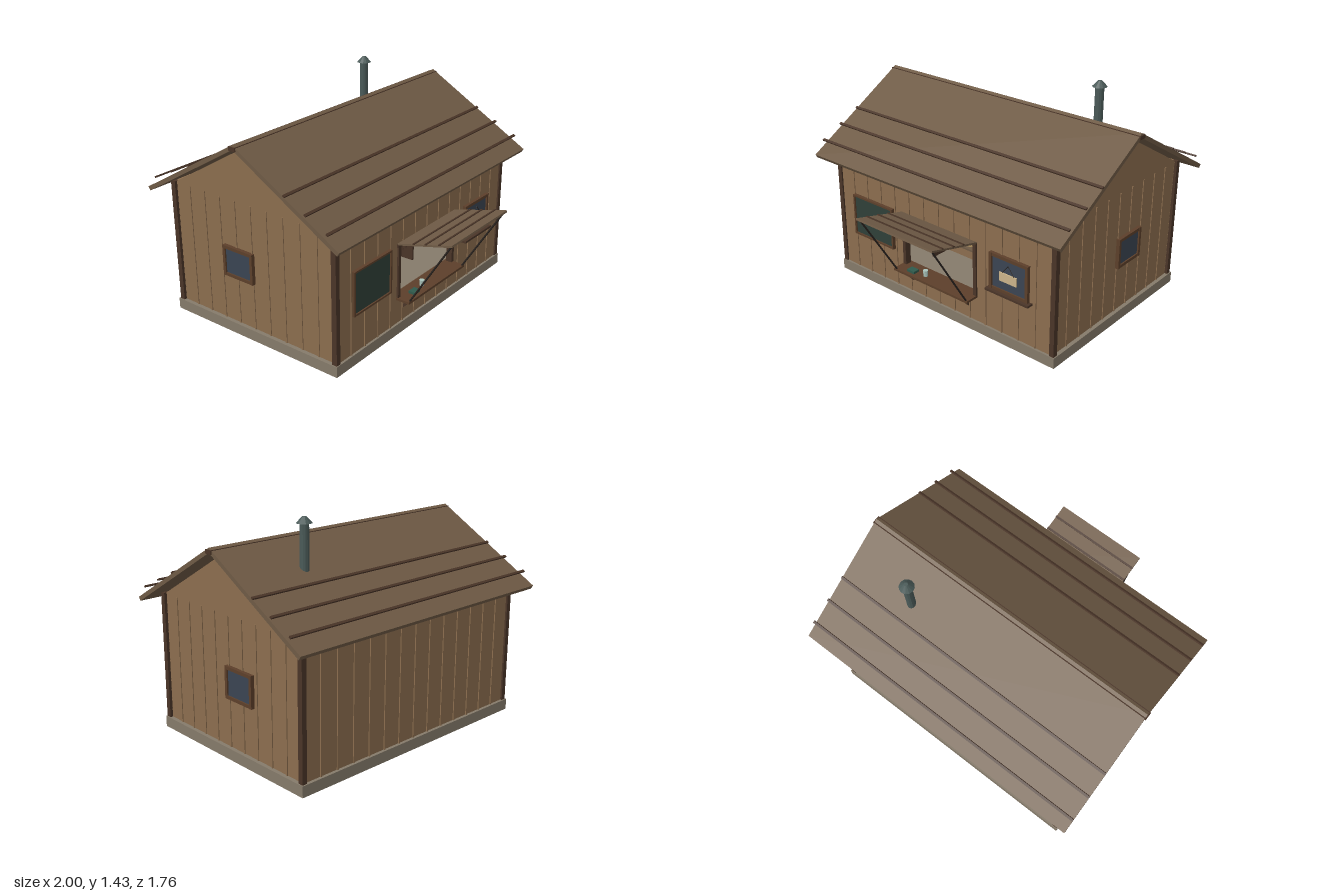
import * as THREE from 'three';

const mats = {};
const mat = (c) => (mats[c] ??= new THREE.MeshStandardMaterial({ color: c, flatShading: true }));
const WALL = 0x8b6d4e, DARK = 0x4a3528, ROOF = 0x6e5a45, STONE = 0x857a6a, TRIM = 0x5c3f2a;
const METAL = 0x4a5a58, GLASS = 0x3a4452, IRON = 0x2a2420;

function add(parent, name, geo, color) {
  const m = new THREE.Mesh(geo, mat(color));
  m.name = name;
  parent.add(m);
  return m;
}
// box given by its extents on each axis
function box(parent, name, x0, x1, y0, y1, z0, z1, color) {
  const m = add(parent, name, new THREE.BoxGeometry(x1 - x0, y1 - y0, z1 - z0), color);
  m.position.set((x0 + x1) / 2, (y0 + y1) / 2, (z0 + z1) / 2);
  return m;
}
function cyl(parent, name, rTop, rBottom, x, y0, y1, z, color, n = 10) {
  const m = add(parent, name, new THREE.CylinderGeometry(rTop, rBottom, y1 - y0, n), color);
  m.position.set(x, (y0 + y1) / 2, z);
  return m;
}
// thin rod between two points
function rod(parent, name, a, b, r, color) {
  const p = new THREE.Vector3(...a), d = new THREE.Vector3(...b).sub(p);
  const m = add(parent, name, new THREE.CylinderGeometry(r, r, d.length(), 6), color);
  m.position.copy(p).addScaledVector(d, 0.5);
  m.quaternion.setFromUnitVectors(new THREE.Vector3(0, 1, 0), d.normalize());
}
const shape = (pts) => new THREE.Shape(pts.map(([a, b]) => new THREE.Vector2(a, b)));
// (z, y) outline extruded along x, centred on x
function prism(parent, name, pts, width, x, color) {
  const g = new THREE.ExtrudeGeometry(shape(pts), { depth: width, bevelEnabled: false });
  g.translate(0, 0, -width / 2).rotateY(-Math.PI / 2).translate(x, 0, 0);
  return add(parent, name, g, color);
}
// framed panel facing +z, centred on its own origin
function framed(parent, name, w, h, bar, paneColor, frameColor) {
  const g = new THREE.Group();
  g.name = name;
  parent.add(g);
  box(g, 'pane', -w / 2 + bar, w / 2 - bar, -h / 2 + bar, h / 2 - bar, -0.005, 0.01, paneColor);
  for (const s of [-1, 1]) {
    const x = s * (w - bar) / 2, y = s * (h - bar) / 2;
    box(g, 'frameSide', x - bar / 2, x + bar / 2, -h / 2, h / 2, -0.005, 0.02, frameColor);
    box(g, 'frameRail', -w / 2, w / 2, y - bar / 2, y + bar / 2, -0.005, 0.019, frameColor);
  }
  return g;
}

function buildWalls(root) {
  const g = new THREE.Group();
  g.name = 'walls';
  root.add(g);
  box(root, 'foundation', -0.905, 0.905, 0, 0.07, -0.785, 0.52, STONE);

  // front wall with the serving hatch cut out
  const front = shape([[-0.88, 0.07], [0.88, 0.07], [0.88, 0.885], [-0.88, 0.885]]);
  front.holes.push(shape([[-0.3, 0.24], [-0.3, 0.6], [0.3, 0.6], [0.3, 0.24]]));
  add(g, 'frontWall', new THREE.ExtrudeGeometry(front, { depth: 0.025, bevelEnabled: false }), WALL).position.z = 0.48;
  box(g, 'backWall', -0.88, 0.88, 0.07, 0.885, -0.765, -0.74, WALL);

  const gable = [[-0.755, 0.07], [0.495, 0.07], [0.495, 0.88], [-0.13, 1.245], [-0.755, 0.88]];
  for (const s of [-1, 1]) {
    prism(g, 'sideWall', gable, 0.025, s * 0.867, WALL);
    for (const z of [-0.76, 0.498]) box(g, 'cornerPost', s * 0.882 - 0.016, s * 0.882 + 0.016, 0.07, 0.887, z - 0.017, z + 0.017, DARK);
    // narrow battens over the board joints
    for (let i = 1; i < 10; i++) {
      const z = -0.755 + i * 0.125;
      box(g, 'sideBatten', s * 0.881 - 0.004, s * 0.881 + 0.004, 0.07, 0.88, z - 0.005, z + 0.005, WALL);
    }
  }
  for (let i = 1; i < 14; i++) {
    const x = -0.88 + i * 1.76 / 14;
    box(g, 'backBatten', x - 0.005, x + 0.005, 0.07, 0.885, -0.772, -0.764, WALL);
    const spans = Math.abs(x) < 0.31 ? [[0.07, 0.235], [0.6, 0.885]] : [[0.07, 0.885]];
    for (const [a, b] of spans) box(g, 'frontBatten', x - 0.005, x + 0.005, a, b, 0.504, 0.511, WALL);
  }
}

function buildRoof(root) {
  const g = new THREE.Group();
  g.name = 'roof';
  root.add(g);
  prism(g, 'roofSlabs', [[-0.13, 1.285], [-0.877, 0.853], [-0.863, 0.83], [-0.13, 1.256], [0.603, 0.83], [0.617, 0.853]], 1.986, 0, ROOF);
  box(g, 'ridgeBeam', -1, 1, 1.25, 1.274, -0.155, -0.105, DARK);
  // battens standing just above each slope
  for (const s of [-1, 1]) for (let i = 0; i < 3; i++) {
    const b = box(g, 'roofBatten', -0.995, 0.995, -0.005, 0.005, -0.008, 0.008, DARK);
    b.position.set(0, 1.077 - i * 0.071, -0.13 + s * (0.37 + i * 0.149));
    b.rotation.x = s * Math.PI / 6;
  }
  // stove pipe
  cyl(g, 'chimneyPipe', 0.028, 0.028, 0.525, 1.09, 1.4, -0.385, METAL, 12);
  cyl(g, 'chimneyCap', 0.012, 0.047, 0.525, 1.395, 1.432, -0.385, METAL, 12);
}

function buildHatch(root) {
  const g = new THREE.Group();
  g.name = 'servingHatch';
  root.add(g);
  box(g, 'counter', -0.315, 0.31, 0.235, 0.25, 0.46, 0.6, TRIM);
  box(g, 'hatchHead', -0.315, 0.31, 0.588, 0.61, 0.475, 0.517, DARK);
  // awning board with cross battens
  const awning = new THREE.Group();
  awning.name = 'awning';
  awning.position.set(0, 0.61, 0.51);
  awning.rotation.x = -0.25;
  g.add(awning);
  box(awning, 'awningBoard', -0.315, 0.312, -0.006, 0.006, 0, 0.385, ROOF);
  for (const z of [0.12, 0.205, 0.3]) box(awning, 'awningBatten', -0.317, 0.314, 0.004, 0.011, z - 0.007, z + 0.007, DARK);
  for (const s of [-1, 1]) {
    box(g, 'hatchJamb', s * 0.298 - 0.012, s * 0.298 + 0.012, 0.24, 0.6, 0.475, 0.517, DARK);
    rod(g, 'awningStrut', [s * 0.295, 0.245, 0.59], [s * 0.295, 0.695, 0.868], 0.006, IRON);
    prism(g, 'counterBracket', [[0.505, 0.15], [0.59, 0.236], [0.505, 0.236]], 0.014, s * 0.237, DARK);
  }
  // goods on the counter
  cyl(g, 'cup', 0.017, 0.014, -0.09, 0.25, 0.29, 0.54, 0xa9c4bb);
  box(g, 'ledger', -0.22, -0.16, 0.25, 0.266, 0.53, 0.575, 0x2f5a4c);
}

function buildShelves(root) {
  const g = new THREE.Group();
  g.name = 'stockShelves';
  root.add(g);
  box(g, 'shelfBack', -0.6, 0.6, 0.07, 0.8, -0.06, -0.045, WALL);
  for (const y of [0.245, 0.36, 0.485]) box(g, 'shelf', -0.45, 0.45, y - 0.012, y, -0.045, 0.1, ROOF);
  for (const s of [-1, 1]) box(g, 'shelfEnd', s * 0.455 - 0.008, s * 0.455 + 0.008, 0.07, 0.62, -0.045, 0.1, DARK);
  const z = 0.04;
  for (const x of [-0.245, -0.18]) {
    cyl(g, 'waterJug', 0.021, 0.021, x, 0.485, 0.54, z, 0x4a7396);
    cyl(g, 'waterJugNeck', 0.009, 0.016, x, 0.54, 0.56, z, 0x4a7396);
  }
  // rows of small goods: first x, count, shelf y, height, colours
  const rows = [
    [-0.098, 7, 0.485, 0.028, [0x3f6b45, 0x8a3a30]],
    [0.125, 7, 0.485, 0.028, [0xd8d0c0, 0xa03a34]],
    [-0.28, 7, 0.36, 0.027, [0xc7802c]],
    [-0.08, 6, 0.36, 0.03, [0x8a5a2c]],
    [0.12, 3, 0.36, 0.03, [0x343a42]],
  ];
  for (const [x, n, y, h, cols] of rows) for (let i = 0; i < n; i++) {
    cyl(g, 'can', 0.0095, 0.0095, x + i * 0.0235, y, y + h, z, cols[i % cols.length], 8);
  }
  for (const x of [-0.26, -0.155]) {
    cyl(g, 'sack', 0.02, 0.034, x, 0.245, 0.3, z, 0xb0925f);
    cyl(g, 'sackTop', 0.018, 0.009, x, 0.3, 0.318, z, 0xb0925f);
  }
  // tools leaning on the shelf fronts
  for (const x of [0.2, 0.235, 0.27]) rod(g, 'toolHandle', [x + 0.01, 0.245, 0.16], [x, 0.49, 0.115], 0.005, DARK);
}

function buildFittings(root) {
  const board = framed(root, 'chalkboard', 0.36, 0.285, 0.012, 0x2f3f38, TRIM);
  board.position.set(-0.57, 0.467, 0.508);
  const win = framed(root, 'frontWindow', 0.29, 0.24, 0.02, GLASS, TRIM);
  win.position.set(0.565, 0.48, 0.508);
  box(root, 'windowSill', 0.405, 0.73, 0.348, 0.362, 0.5, 0.548, DARK);
  // blank sign hanging on two cords
  box(root, 'hangingSign', 0.5, 0.63, 0.44, 0.497, 0.522, 0.53, 0xcbb48a);
  for (const s of [-1, 1]) rod(root, 'signCord', [0.565 + s * 0.045, 0.495, 0.526], [0.565, 0.553, 0.526], 0.002, IRON);
  for (const s of [-1, 1]) {
    const side = framed(root, 'sideWindow', 0.24, 0.2, 0.02, GLASS, TRIM);
    side.position.set(s * 0.884, 0.48, -0.235);
    side.rotation.y = s * Math.PI / 2;
  }
}

export function createModel() {
  const root = new THREE.Group();
  root.name = 'supplyShack';
  buildWalls(root);
  buildRoof(root);
  buildHatch(root);
  buildShelves(root);
  buildFittings(root);
  return root;
}
